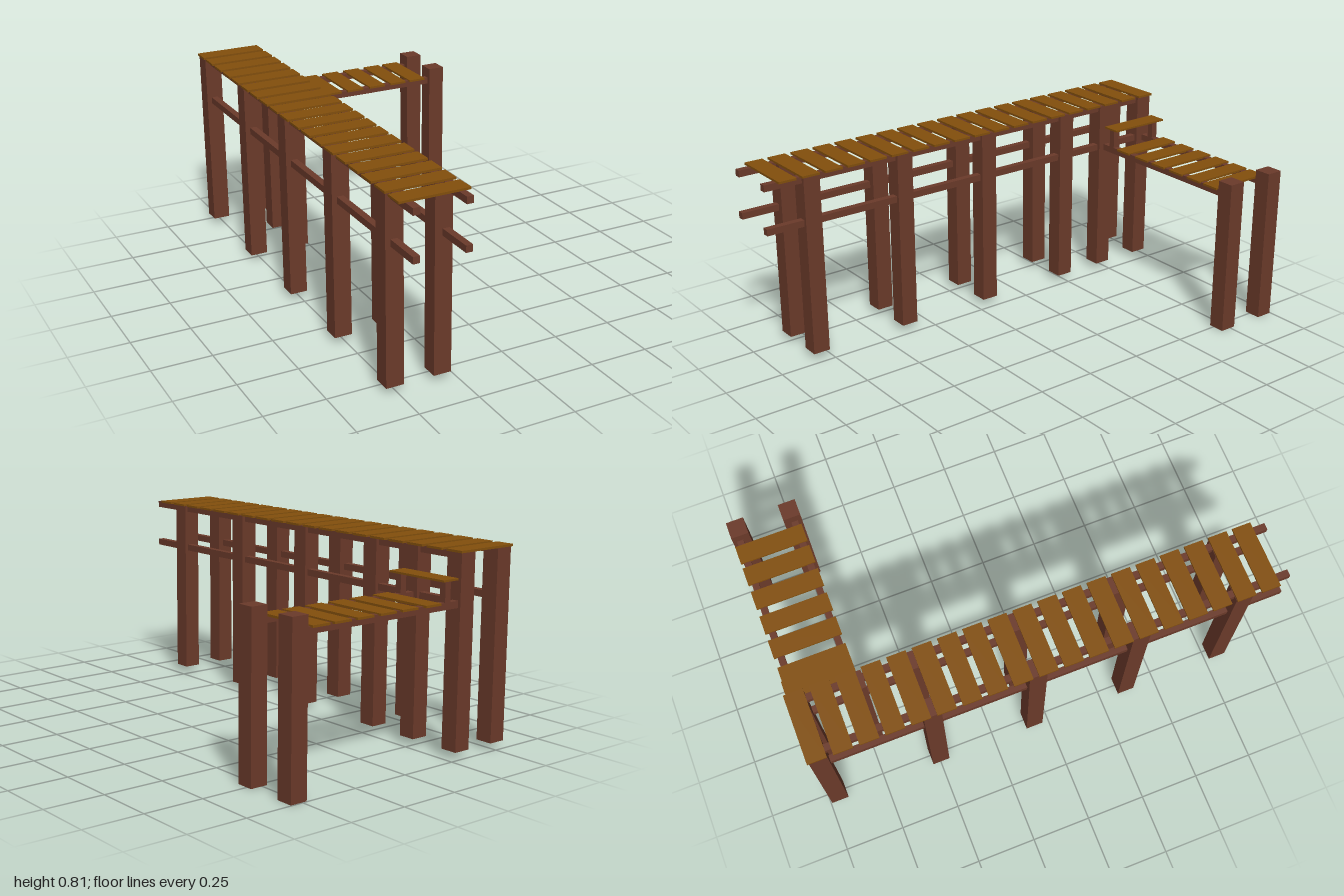
import * as THREE from 'three';

export function createModel() {
  const model = new THREE.Group();
  model.name = 'pier';
  const timber = new THREE.MeshStandardMaterial({ color: 0x6b3a2a });
  const deck = new THREE.MeshStandardMaterial({ color: 0x824f0c });

  // Box given by its min and max on each axis
  function beam(parent, name, material, [x0, x1], [y0, y1], [z0, z1]) {
    const mesh = new THREE.Mesh(new THREE.BoxGeometry(x1 - x0, y1 - y0, z1 - z0), material);
    mesh.position.set((x0 + x1) / 2, (y0 + y1) / 2, (z0 + z1) / 2);
    mesh.name = name;
    parent.add(mesh);
  }
  const around = (centre, size) => [centre - size / 2, centre + size / 2];
  function section(name) {
    const group = new THREE.Group();
    group.name = name;
    model.add(group);
    return group;
  }

  const POST = 0.073, RAIL = 0.028, PLANK = 0.079;

  // Long walkway: posts, with one extra where the side dock joins
  const walkway = section('walkway');
  const rows = [0.798, 0.362, -0.067, -0.498, -0.957];
  for (const z of rows) {
    beam(walkway, 'walkwayPost', timber, around(-0.511, POST), [0.03, 0.807], around(z, POST));
    beam(walkway, 'walkwayPost', timber, around(-0.312, POST), [0.03, 0.807], around(z, POST));
  }
  beam(walkway, 'junctionPost', timber, around(-0.312, POST), [0.03, 0.807], around(-0.729, POST));

  // Upper and lower rails along both sides
  for (const [x, lowerY] of [[-0.513, 0.612], [-0.303, 0.609]]) {
    beam(walkway, 'upperRail', timber, around(x, RAIL), around(0.793, RAIL), [-0.95, 1]);
    beam(walkway, 'lowerRail', timber, around(x, RAIL), around(lowerY, RAIL), [-0.95, 1]);
  }

  // Walkway planks
  for (let i = 0; i < 19; i++) {
    beam(walkway, 'walkwayPlank', deck, [-0.553, -0.268], [0.806, 0.815], around(-0.96 + i * 0.1037, PLANK));
  }

  // Lower side dock: end posts and rails
  const dock = section('sideDock');
  for (const z of [-0.738, -0.96]) {
    beam(dock, 'dockPost', timber, around(0.515, POST), [0, 0.67], around(z, POST));
  }
  const dockRails = [-0.733, -0.967];
  for (const z of dockRails) {
    beam(dock, 'dockRail', timber, [-0.3, 0.5], [0.595, 0.623], around(z, RAIL));
  }

  // Dock planks, unevenly spaced
  for (const x of [-0.133, -0.013, 0.096, 0.208, 0.317, 0.417]) {
    beam(dock, 'dockPlank', deck, around(x, PLANK), [0.619, 0.628], [-0.995, -0.71]);
  }

  // Raised step between the dock and the walkway
  const step = section('step');
  for (const z of dockRails) {
    beam(step, 'stepSupport', timber, around(-0.22, RAIL), [0.61, 0.702], around(z, RAIL));
  }
  beam(step, 'stepPlank', deck, around(-0.22, PLANK), [0.705, 0.713], [-0.995, -0.71]);

  return model;
}
